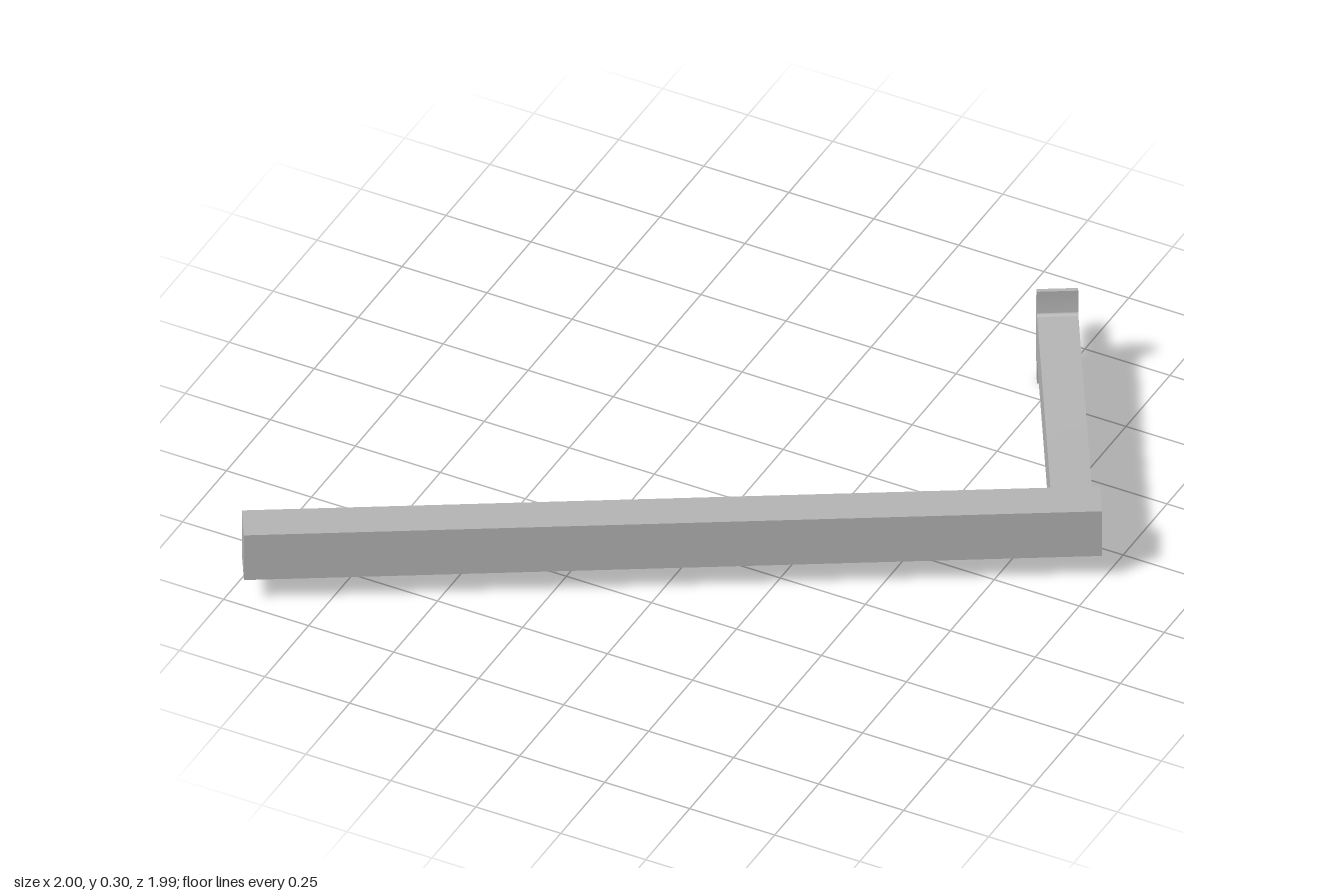
import * as THREE from 'three';
import { toCreasedNormals } from 'three/addons/utils/BufferGeometryUtils.js';

export function createModel() {
  const model = new THREE.Group();
  model.name = 'angledLever';
  const grey = new THREE.MeshStandardMaterial({ color: 0xb4b4b4 });
  grey.name = 'grey';

  // Local frame: origin at the outer elbow corner, x along the short arm, -z along the long bar
  const lever = new THREE.Group();
  lever.name = 'lever';
  lever.position.set(1, 0, -0.13);
  lever.rotation.y = (Math.PI * 2) / 3;
  model.add(lever);

  const add = (name, geometry) => {
    const mesh = new THREE.Mesh(geometry, grey);
    mesh.name = name;
    lever.add(mesh);
    return mesh;
  };
  const box = (name, x0, x1, y0, y1, z0, z1) =>
    add(name, new THREE.BoxGeometry(x1 - x0, y1 - y0, z1 - z0))
      .position.set((x0 + x1) / 2, (y0 + y1) / 2, (z0 + z1) / 2);

  const mid = 0.15, half = 0.073;

  // Long square bar
  box('longBar', 0, 0.109, mid - half, mid + half, -2.245, 0);

  // Short arm flowing through small fillets into a domed head
  const back = 0.859, rim = 0.871, fillet = 0.012;
  const radius = 0.223, centre = 0.706, angle = Math.asin(0.15 / radius);
  const profile = new THREE.Shape();
  profile.moveTo(0.109, mid - half);
  profile.lineTo(back - fillet, mid - half);
  profile.quadraticCurveTo(back, mid - half, back, mid - half - fillet);
  profile.lineTo(back, 0);
  profile.lineTo(rim, 0);
  profile.absarc(centre, mid, radius, -angle, angle, false);
  profile.lineTo(back, 0.3);
  profile.lineTo(back, mid + half + fillet);
  profile.quadraticCurveTo(back, mid + half, back - fillet, mid + half);
  profile.lineTo(0.109, mid + half);
  profile.closePath();
  const arm = new THREE.ExtrudeGeometry(profile, { depth: 0.108, bevelEnabled: false, curveSegments: 20 });
  arm.translate(0, 0, -0.13);
  add('shortArmWithHead', toCreasedNormals(arm, 0.5));

  // Small pin at the middle of the dome
  box('tipPin', 0.91, 1.035, mid - 0.025, mid + 0.025, -0.093, -0.058);

  return model;
}
